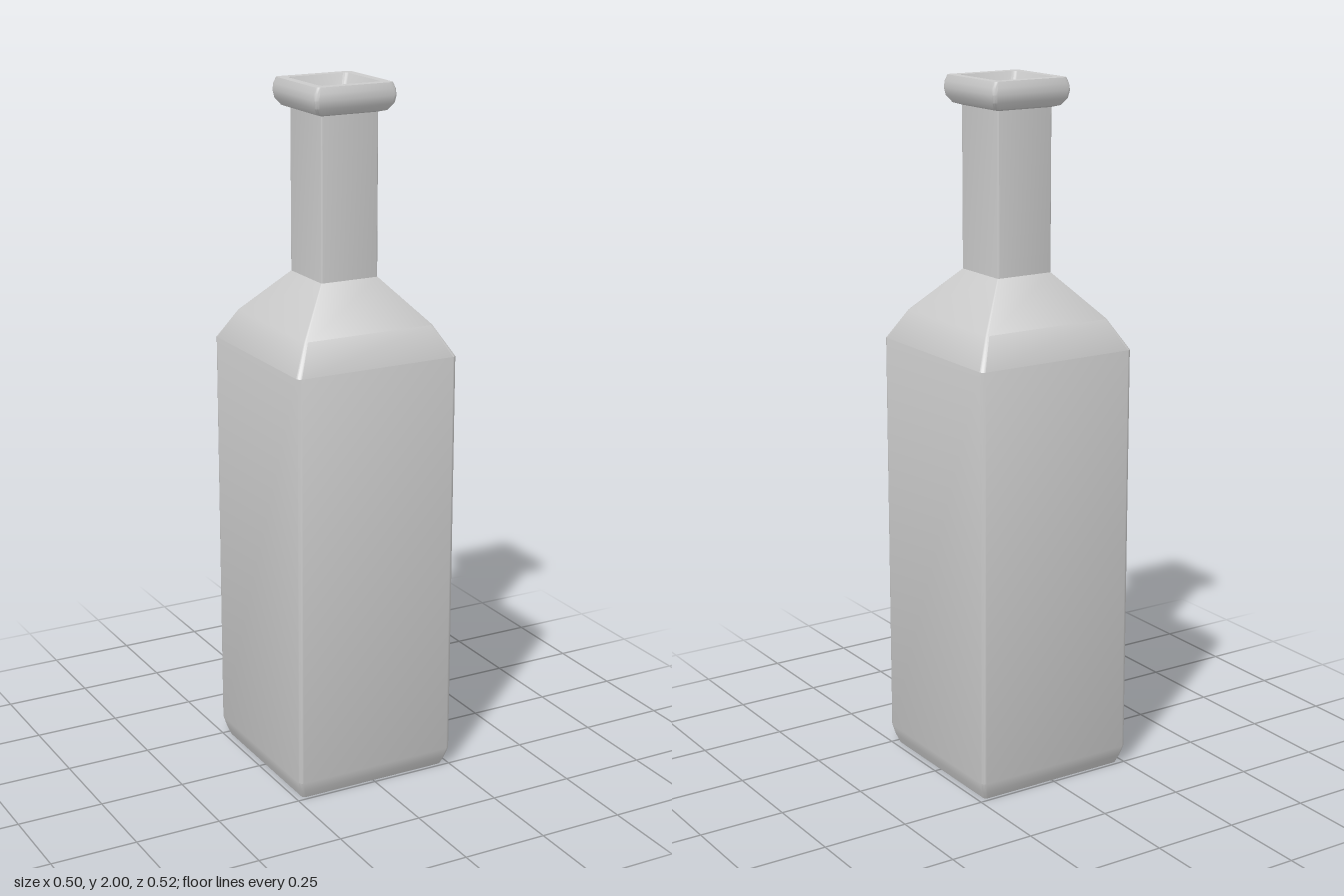
import * as THREE from 'three';
import { toCreasedNormals } from 'three/addons/utils/BufferGeometryUtils.js';

const CORNER_STEPS = 3;

// Rounded rectangle cross-section, running from +x towards +z
function ring([hx, hz, y, r]) {
  const pts = [];
  for (let q = 0; q < 4; q++) {
    const sx = q === 0 || q === 3 ? 1 : -1;
    const sz = q < 2 ? 1 : -1;
    for (let i = 0; i <= CORNER_STEPS; i++) {
      const a = (q + i / CORNER_STEPS) * Math.PI / 2;
      pts.push([sx * (hx - r) + r * Math.cos(a), y, sz * (hz - r) + r * Math.sin(a)]);
    }
  }
  return pts;
}

// Skin over a list of sections [halfX, halfZ, y, cornerRadius], with optional flat ends
function loft(name, sections, material, capStart, capEnd) {
  const rings = sections.map(ring);
  const n = rings[0].length;
  const pos = rings.flat(2);
  const index = [];
  for (let j = 0; j < rings.length - 1; j++) {
    for (let i = 0; i < n; i++) {
      const a = j * n + i, b = j * n + (i + 1) % n;
      index.push(a, a + n, b, b, a + n, b + n);
    }
  }
  const last = (rings.length - 1) * n;
  for (let i = 1; i < n - 1; i++) {
    if (capStart) index.push(0, i, i + 1);
    if (capEnd) index.push(last, last + i + 1, last + i);
  }
  const geo = new THREE.BufferGeometry();
  geo.setAttribute('position', new THREE.Float32BufferAttribute(pos, 3));
  geo.setIndex(index);
  const mesh = new THREE.Mesh(toCreasedNormals(geo, 0.6), material);
  mesh.name = name;
  return mesh;
}

export function createModel() {
  const group = new THREE.Group();
  group.name = 'squareBottle';
  const glass = new THREE.MeshStandardMaterial({ color: 0xcccccc });

  // Bevelled base, straight sides and sloping shoulders
  group.add(loft('body', [
    [0.23, 0.239, 0, 0.01],
    [0.24, 0.25, 0.025, 0.012],
    [0.248, 0.258, 0.055, 0.012],
    [0.248, 0.258, 1.25, 0.012],
    [0.2, 0.208, 1.335, 0.008],
    [0.088, 0.092, 1.46, 0.004],
  ], glass, true, false));

  // Straight square neck
  group.add(loft('neck', [
    [0.088, 0.092, 1.46, 0.004],
    [0.088, 0.092, 1.92, 0.004],
  ], glass, false, false));

  // Flared lip with a flat rim and a tapering recessed mouth
  group.add(loft('lip', [
    [0.088, 0.092, 1.918, 0.004],
    [0.108, 0.113, 1.924, 0.01],
    [0.122, 0.127, 1.943, 0.012],
    [0.126, 0.131, 1.965, 0.012],
    [0.124, 0.129, 1.983, 0.012],
    [0.118, 0.124, 2, 0.012],
    [0.093, 0.097, 2, 0.012],
    [0.065, 0.067, 1.93, 0.01],
  ], glass, false, true));

  return group;
}
